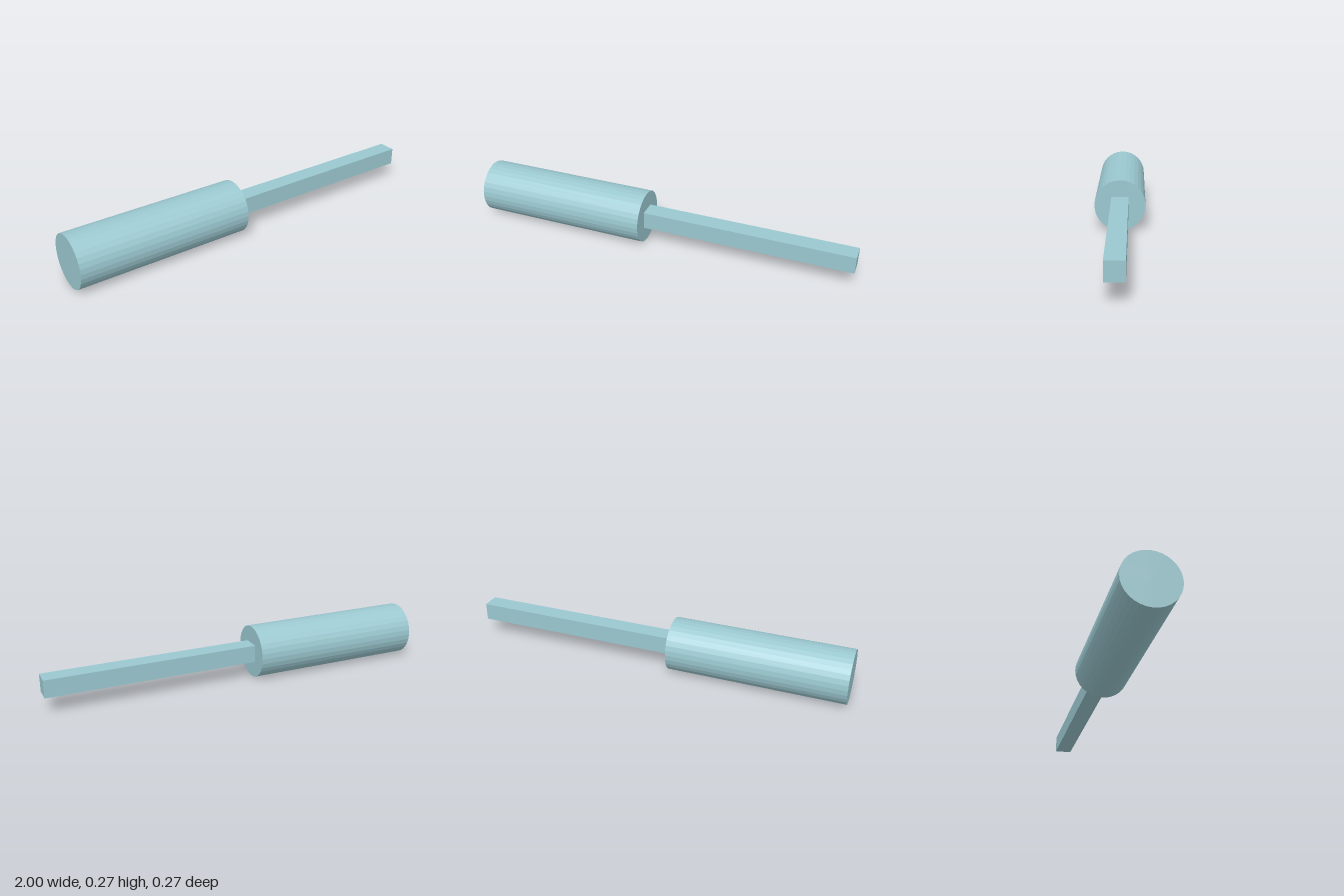
import * as THREE from 'three';

export function createModel() {
  const group = new THREE.Group();
  const paleTeal = new THREE.MeshStandardMaterial({ color: 0x9bc8d0, flatShading: true });
  paleTeal.name = 'paleTeal';

  const unit = 2 / 22; // handle is 10 units long, shaft 12
  const radius = 1.5 * unit;

  // Round handle lying along x
  const handle = new THREE.Mesh(
    new THREE.CylinderGeometry(radius, radius, 10 * unit, 32).rotateZ(Math.PI / 2),
    paleTeal
  );
  handle.name = 'handle';
  handle.position.set(-1 + 5 * unit, radius, 0);

  // Square shaft butting against the handle end
  const shaft = new THREE.Mesh(new THREE.BoxGeometry(12 * unit, unit, unit), paleTeal);
  shaft.name = 'shaft';
  shaft.position.set(1 - 6 * unit, radius, 0);

  group.add(handle, shaft);
  return group;
}
